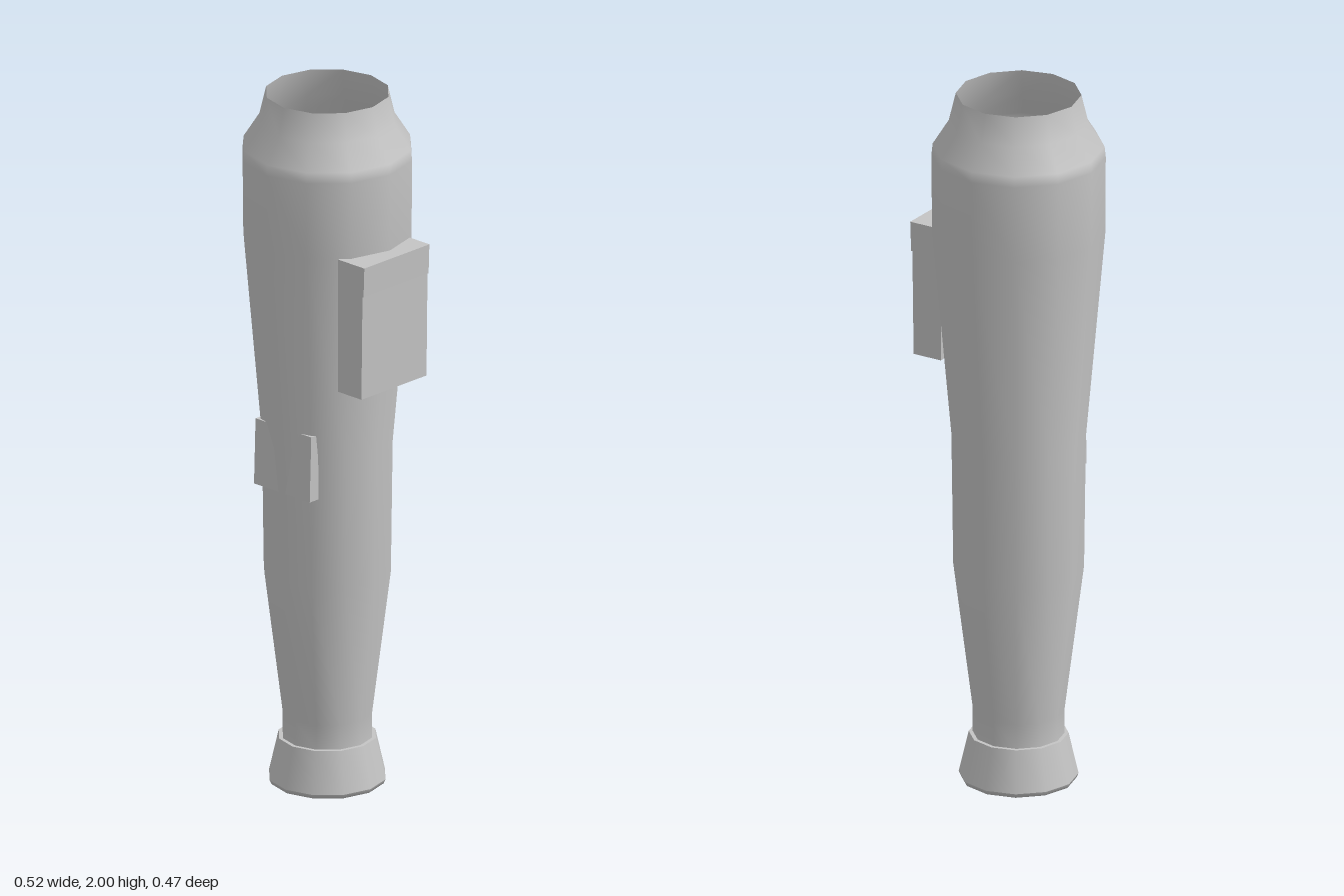
import * as THREE from 'three';

const SIDES = 12;
const AXIS_X = -0.022;

export function createModel() {
  const model = new THREE.Group();
  const grey = new THREE.MeshStandardMaterial({ color: 0xc4c4c4, side: THREE.DoubleSide });
  grey.name = 'light grey';

  const add = (name, geometry) => {
    const mesh = new THREE.Mesh(geometry, grey);
    mesh.name = name;
    model.add(mesh);
    return mesh;
  };

  // open twelve-sided shell from [radius, height] pairs, bottom to top
  const shell = (name, points) => {
    const profile = points.map(([r, y]) => new THREE.Vector2(r, y));
    add(name, new THREE.LatheGeometry(profile, SIDES)).position.x = AXIS_X;
  };

  // solid with a side outline in (across, up), extruded from z0 to z1
  const prism = (outline, z0, z1) => {
    const shape = new THREE.Shape(outline.map(([x, y]) => new THREE.Vector2(x, y)));
    return new THREE.ExtrudeGeometry(shape, { depth: z1 - z0, bevelEnabled: false }).translate(0, 0, z0);
  };

  // hollow main tube
  shell('tubeBody', [
    [0.125, 0.13], [0.125, 0.2], [0.178, 0.62], [0.183, 1.0],
    [0.236, 1.6], [0.237, 1.82], [0.234, 1.85], [0.19, 1.92], [0.171, 2.0],
  ]);

  // flared foot: skirt, ledge and turned-in lip
  shell('flaredFoot', [[0.163, 0.012], [0.136, 0.13]]);
  shell('footLedge', [[0.136, 0.13], [0.124, 0.13]]);
  shell('footLip', [[0.15, 0.006], [0.158, 0], [0.163, 0.012]]);

  // side box, with a slightly overhanging cap
  add('sideBox', prism([[0.16, 1.215], [0.248, 1.215], [0.252, 1.515], [0.16, 1.515]], -0.108, 0.147));
  add('sideBoxCap', prism([[0.16, 1.515], [0.256, 1.515], [0.259, 1.6], [0.16, 1.6]], -0.108, 0.147));

  // front plate, mostly sunk in the tube so its corners show
  const plate = prism([[-0.178, 0.88], [-0.131, 0.88], [-0.131, 1.068], [-0.172, 1.068]], -0.105, 0.105);
  add('frontPlate', plate.rotateY(Math.PI / 2)).position.x = AXIS_X;

  return model;
}
